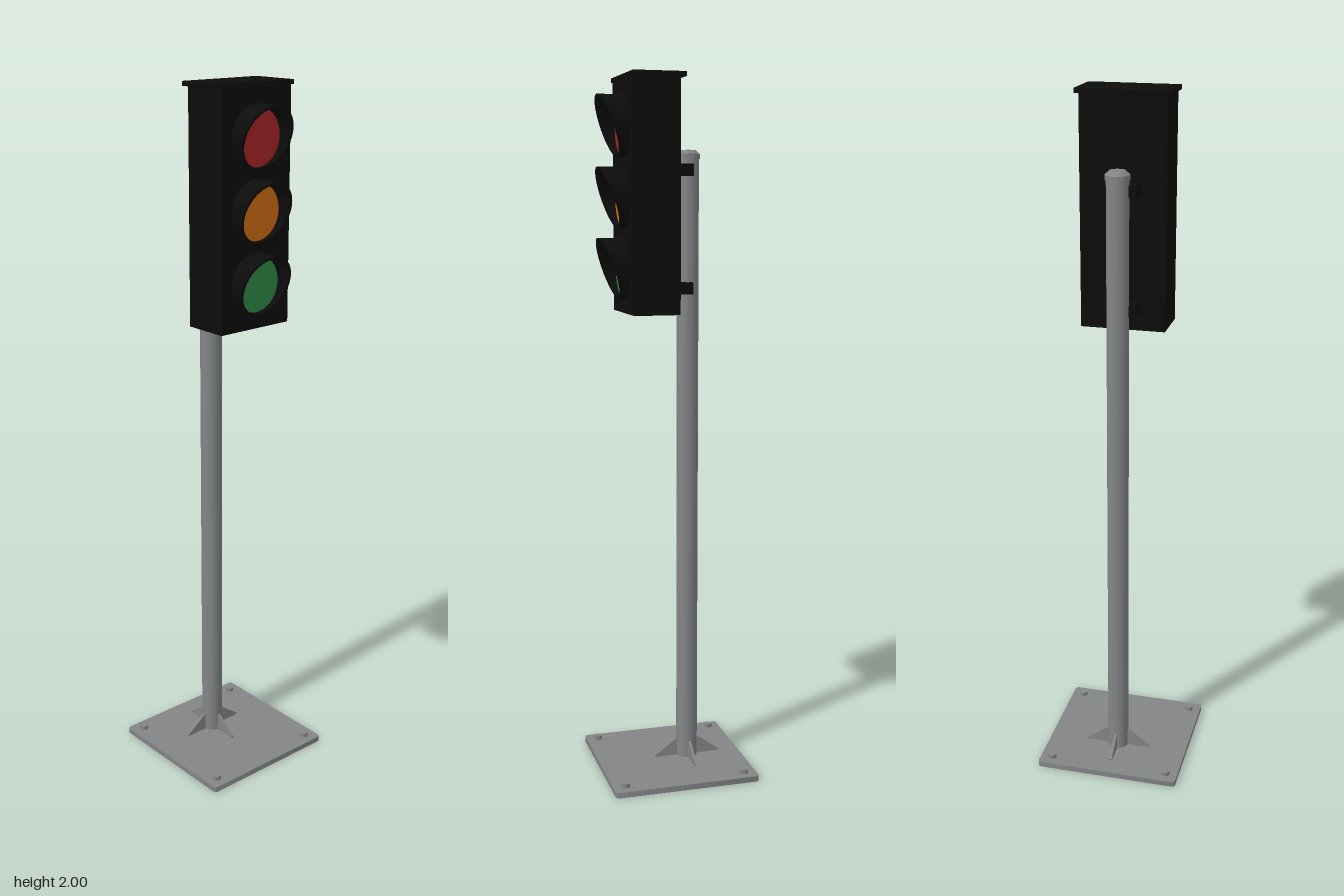
import * as THREE from 'three';
import { toCreasedNormals } from 'three/addons/utils/BufferGeometryUtils.js';

const mat = (name, color, side = THREE.FrontSide) => {
  const m = new THREE.MeshStandardMaterial({ color, side });
  m.name = name;
  return m;
};

export function createModel() {
  const steel = mat('grey steel', 0x828487);
  const black = mat('black housing', 0x0c0c0c);
  const visorBlack = black;
  const lensColors = [
    mat('red lens', 0xa52626),
    mat('amber lens', 0xcf6c13),
    mat('green lens', 0x2f8847),
  ];

  const model = new THREE.Group();
  const poleZ = -0.055;

  const add = (name, geo, material, x = 0, y = 0, z = 0, parent = model) => {
    const mesh = new THREE.Mesh(geo, material);
    mesh.name = name;
    mesh.position.set(x, y, z);
    parent.add(mesh);
    return mesh;
  };

  // Flat slab with rounded corners in plan, lying from y = 0 up to h
  const slab = (w, d, h, r) => {
    const s = new THREE.Shape();
    const a = w / 2 - r, b = d / 2 - r;
    s.absarc(a, b, r, 0, Math.PI / 2);
    s.absarc(-a, b, r, Math.PI / 2, Math.PI);
    s.absarc(-a, -b, r, Math.PI, Math.PI * 1.5);
    s.absarc(a, -b, r, Math.PI * 1.5, Math.PI * 2);
    const g = new THREE.ExtrudeGeometry(s, { depth: h, bevelEnabled: false, curveSegments: 6 });
    return toCreasedNormals(g.rotateX(-Math.PI / 2), 0.6);
  };

  // Base plate and its four anchor bolts
  add('basePlate', slab(0.427, 0.427, 0.016, 0.01), steel);
  for (const x of [-0.178, 0.178])
    for (const z of [-0.178, 0.178])
      add('anchorBolt', new THREE.CylinderGeometry(0.012, 0.012, 0.014, 24), steel, x, 0.021, z);

  // Four gusset fins around the foot of the pole
  const fin = new THREE.Shape();
  fin.moveTo(0.02, 0);
  fin.lineTo(0.098, 0);
  fin.lineTo(0.098, 0.006);
  fin.lineTo(0.036, 0.051);
  fin.lineTo(0.02, 0.051);
  const finGeo = new THREE.ExtrudeGeometry(fin, { depth: 0.008, bevelEnabled: false });
  finGeo.translate(0, 0, -0.004);
  for (let i = 0; i < 4; i++)
    add('gussetFin', finGeo, steel, 0, 0.015, poleZ).rotation.y = i * Math.PI / 2;

  // Pole with a bevelled cap
  add('pole', new THREE.CylinderGeometry(0.031, 0.031, 1.765, 40), steel, 0, 0.8975, poleZ);
  const capProfile = [[0, 0], [0.034, 0], [0.034, 0.013], [0.022, 0.024], [0, 0.024]]
    .map(([x, y]) => new THREE.Vector2(x, y));
  add('poleCap', toCreasedNormals(new THREE.LatheGeometry(capProfile, 40), 0.5), steel, 0, 1.776, poleZ);

  // Signal head: box, overhanging roof and two brackets to the pole
  const head = new THREE.Group();
  head.name = 'signalHead';
  model.add(head);
  add('housing', new THREE.BoxGeometry(0.24, 0.64, 0.132), black, 0, 1.67, 0.066, head);
  add('roof', slab(0.26, 0.15, 0.012, 0.005), black, 0, 1.988, 0.06, head);
  for (const y of [1.745, 1.418])
    add('bracket', new THREE.BoxGeometry(0.1, 0.033, 0.06), black, 0, y, -0.028, head);

  // Visor: short tube whose front rim is cut on a slant, longest at the top
  const outer = 0.085, inner = 0.078, back = 0.128;
  const ring = new THREE.Shape().absarc(0, 0, outer, 0, Math.PI * 2);
  ring.holes.push(new THREE.Path().absarc(0, 0, inner, 0, Math.PI * 2, true));
  let visor = new THREE.ExtrudeGeometry(ring, { depth: 1, bevelEnabled: false, curveSegments: 48 });
  const p = visor.attributes.position;
  for (let i = 0; i < p.count; i++) {
    const rim = 0.176 + 0.029 * p.getY(i) / outer;
    p.setZ(i, p.getZ(i) > 0.5 ? rim : back);
  }
  visor = toCreasedNormals(visor, 0.6);

  // Three lamps from top to bottom
  lensColors.forEach((color, i) => {
    const y = 1.862 - i * 0.194;
    const lens = new THREE.CylinderGeometry(0.0775, 0.0775, 0.008, 48).rotateX(Math.PI / 2);
    add('lens', lens, color, 0, y, 0.132, head);
    add('visor', visor, visorBlack, 0, y, 0, head);
  });

  return model;
}
